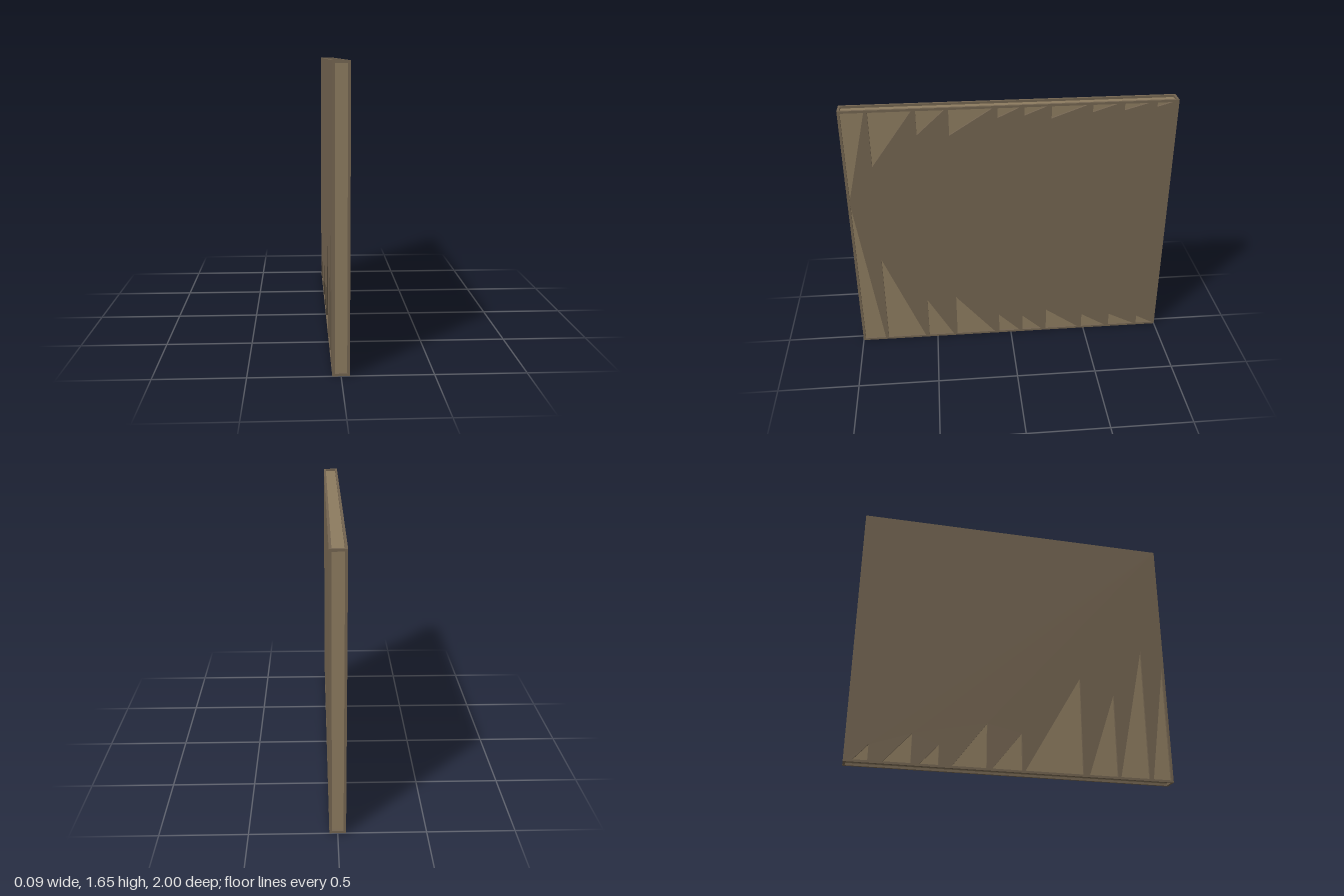
import * as THREE from 'three';

const W = 0.094, H = 1.655, D = 2, RIM = 0.014;
const LOW = RIM, HIGH = H - RIM;

// Each tear: [z of upright edge, z where the slope ends, y of the tip]
const rightLow = [
  [0.985, 0.85, 1.04], [0.83, 0.58, 0.64], [0.555, 0.39, 0.305], [0.365, 0.11, 0.315],
  [0.08, -0.06, 0.15], [-0.08, -0.21, 0.13], [-0.24, -0.46, 0.17], [-0.485, -0.65, 0.115],
  [-0.675, -0.85, 0.105], [-0.87, -0.98, 0.075],
];
const rightHigh = [
  [0.985, 0.85, 1.07], [0.83, 0.58, 1.295], [0.555, 0.39, 1.49], [0.365, 0.11, 1.48],
  [0.08, -0.05, 1.58], [-0.08, -0.21, 1.59], [-0.24, -0.45, 1.565], [-0.485, -0.63, 1.595],
  [-0.675, -0.82, 1.6], [-0.87, -0.96, 1.615],
];
const leftLow = [
  [0.985, 0.87, 0.77], [0.845, 0.66, 0.88], [0.64, 0.46, 0.55], [0.42, 0.06, 0.64],
  [0.04, -0.14, 0.245], [-0.175, -0.38, 0.29], [-0.46, -0.57, 0.137], [-0.62, -0.78, 0.195],
  [-0.865, -0.95, 0.11],
];

function tear([z0, z1, tip], base) {
  return new THREE.Path([
    new THREE.Vector2(z0, base), new THREE.Vector2(z0, tip), new THREE.Vector2(z1, base),
  ]);
}

// Side sheet in the z-y plane with triangular cut-outs, outer face at xOuter
function sheet(xMax, holes) {
  const shape = new THREE.Shape([
    new THREE.Vector2(-D / 2, 0), new THREE.Vector2(D / 2, 0),
    new THREE.Vector2(D / 2, H), new THREE.Vector2(-D / 2, H),
  ]);
  shape.holes.push(...holes);
  const geometry = new THREE.ExtrudeGeometry(shape, { depth: RIM, bevelEnabled: false });
  geometry.rotateY(-Math.PI / 2);
  geometry.translate(xMax, 0, 0);
  return geometry;
}

export function createModel() {
  const group = new THREE.Group();
  const shell = new THREE.MeshStandardMaterial({ color: 0x736450 });
  const inner = new THREE.MeshStandardMaterial({ color: 0x8c7b5f });

  const add = (name, geometry, material, x = 0, y = 0, z = 0) => {
    const mesh = new THREE.Mesh(geometry, material);
    mesh.name = name;
    mesh.position.set(x, y, z);
    group.add(mesh);
  };

  // Lighter core, set back from every outer face
  add('core', new THREE.BoxGeometry(W - 2 * RIM, H - 2 * RIM, D - 2 * RIM), inner, 0, H / 2, 0);

  // Cut-out sheets on both broad sides
  add('sheetPlusX', sheet(W / 2, [
    ...rightLow.map(t => tear(t, LOW)), ...rightHigh.map(t => tear(t, HIGH)),
  ]), shell);
  add('sheetMinusX', sheet(-W / 2 + RIM, leftLow.map(t => tear(t, LOW))), shell);

  // Corner bars closing the rim between the sheets
  for (const y of [RIM / 2, H - RIM / 2]) {
    for (const s of [-1, 1]) {
      add('cornerBar', new THREE.BoxGeometry(W - 2 * RIM, RIM, RIM), shell, 0, y, s * (D - RIM) / 2);
    }
  }
  return group;
}
